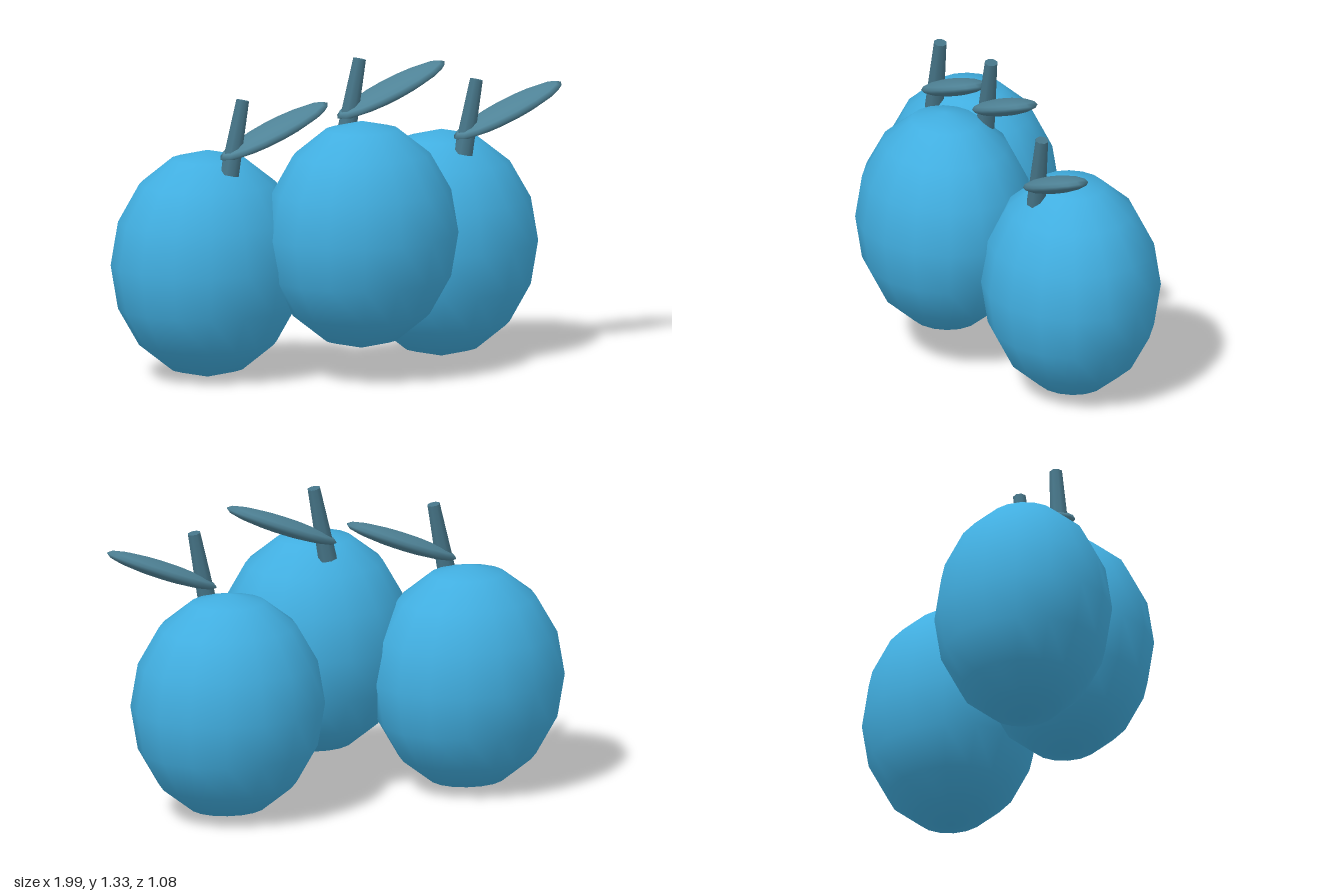
import * as THREE from 'three';

export function createModel() {
  const group = new THREE.Group();
  const berryBlue = new THREE.MeshStandardMaterial({ color: 0x41aee0 });
  berryBlue.name = 'berryBlue';
  const leafTeal = new THREE.MeshStandardMaterial({ color: 0x4f8397 });
  leafTeal.name = 'leafTeal';
  const stemTeal = new THREE.MeshStandardMaterial({ color: 0x467588 });
  stemTeal.name = 'stemTeal';

  const ball = new THREE.SphereGeometry(1, 16, 8);
  const fruitShape = ball.clone().scale(0.415, 0.482, 0.37);
  const leafShape = ball.clone().scale(0.271, 0.036, 0.105);
  const stemShape = new THREE.CylinderGeometry(0.028, 0.042, 0.32, 8);

  const add = (parent, name, geometry, material, x, y, z, tilt = 0) => {
    const mesh = new THREE.Mesh(geometry, material);
    mesh.name = name;
    mesh.position.set(x, y, z);
    mesh.rotation.z = tilt;
    parent.add(mesh);
  };

  // Three fruits side by side; the middle one sits higher and further forward,
  // while all stems and leaves stay in one plane
  const fruits = [
    ['rightFruit', -0.585, 0.485, -0.17],
    ['middleFruit', -0.035, 0.617, 0.17],
    ['leftFruit', 0.515, 0.485, -0.17],
  ];
  for (const [name, x, y, z] of fruits) {
    const fruit = new THREE.Group();
    fruit.name = name;
    fruit.position.set(x, y, 0);
    add(fruit, 'fruitBody', fruitShape, berryBlue, 0, 0, z);
    add(fruit, 'stem', stemShape, stemTeal, 0.049, 0.555, -0.005, -0.2);
    add(fruit, 'leaf', leafShape, leafTeal, 0.228, 0.568, -0.005, 0.385);
    group.add(fruit);
  }
  return group;
}
